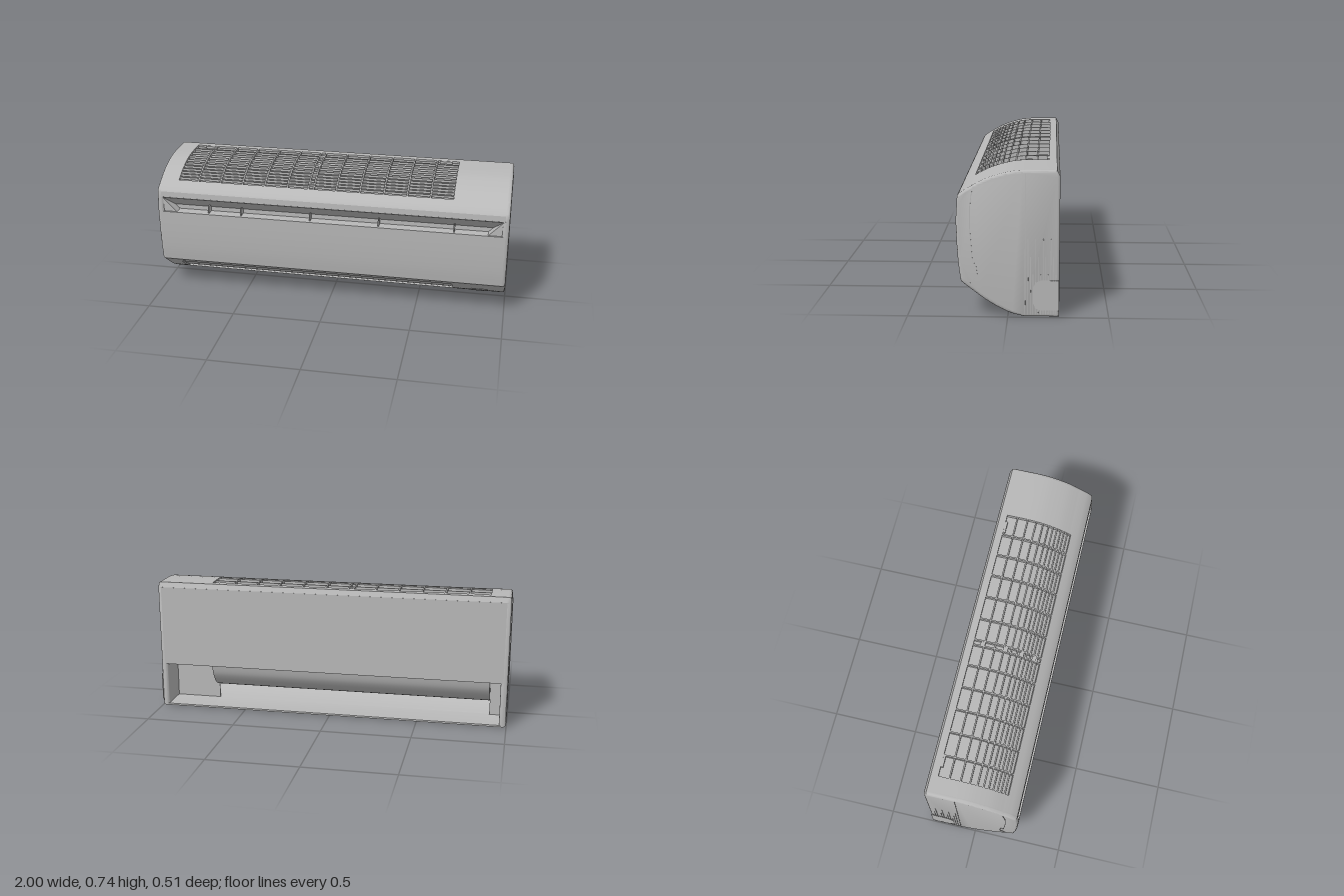
import * as THREE from 'three';
import { toCreasedNormals } from 'three/addons/utils/BufferGeometryUtils.js';

export function createModel() {
  const model = new THREE.Group();
  const gray = new THREE.MeshStandardMaterial({ color: 0xb8b8b8 });
  gray.name = 'light gray plastic';
  const add = (name, geometry, parent = model) => {
    const mesh = new THREE.Mesh(geometry, gray);
    mesh.name = name;
    parent.add(mesh);
    return mesh;
  };
  const group = (name) => {
    const g = new THREE.Group();
    g.name = name;
    model.add(g);
    return g;
  };

  // Points are [z, y]; the shape is swept along x.
  const shapeOf = (pts) => new THREE.Shape(pts.map(([z, y]) => new THREE.Vector2(-z, y)));
  const sweep = (pts, x0, x1) => {
    const g = new THREE.ExtrudeGeometry(shapeOf(pts), { depth: x1 - x0, bevelEnabled: false });
    g.rotateY(Math.PI / 2).translate(x0, 0, 0);
    return toCreasedNormals(g, 0.5);
  };
  // Curved sheet of thickness t, thickened to the left of the path.
  const band = (pts, t, x0, x1) => {
    const inner = pts.map(([z, y], i) => {
      const a = pts[Math.max(i - 1, 0)], b = pts[Math.min(i + 1, pts.length - 1)];
      const dz = b[0] - a[0], dy = b[1] - a[1], l = Math.hypot(dz, dy);
      return [z - (dy / l) * t, y + (dz / l) * t];
    });
    return sweep([...pts, ...inner.reverse()], x0, x1);
  };
  const box = (x0, x1, y0, y1, z0, z1) =>
    new THREE.BoxGeometry(x1 - x0, y1 - y0, z1 - z0)
      .translate((x0 + x1) / 2, (y0 + y1) / 2, (z0 + z1) / 2);
  const smooth = (pts, n) =>
    new THREE.SplineCurve(pts.map((p) => new THREE.Vector2(...p))).getPoints(n).map((p) => [p.x, p.y]);

  // Casing outline: underside, front and top
  const under = smooth([[-0.08, 0.002], [0, 0.025], [0.1, 0.08], [0.2, 0.155]], 30);
  const front = smooth([[0.232, 0.18], [0.243, 0.26], [0.251, 0.37], [0.255, 0.49]], 12);
  const header = [[0.249, 0.575], [0.247, 0.61], [0.24, 0.62], [0.21, 0.642], [0.178, 0.66]];
  const top = smooth([[0.178, 0.66], [0.1, 0.7], [0, 0.73], [-0.08, 0.74]], 30);
  const backEdge = [[-0.24, 0.74], [-0.255, 0.71]];
  const heightAt = (curve, z) => {
    for (let i = 1; i < curve.length; i++) {
      const [a, b] = [curve[i - 1], curve[i]];
      if ((z - a[0]) * (z - b[0]) <= 0) return a[1] + ((b[1] - a[1]) * (z - a[0])) / (b[0] - a[0]);
    }
    return curve === top ? 0.74 : 0.002;
  };
  const arc = (curve, z0, z1, n = 24, dy = 0) => Array.from({ length: n + 1 }, (_, i) => {
    const z = z0 + ((z1 - z0) * i) / n;
    return [z, heightAt(curve, z) + dy];
  });

  const W = 0.983, L = -0.89, R = 0.69;

  // Rounded end panels
  const outline = [[-0.255, 0.002], ...under, ...front, ...header, ...top, ...backEdge];
  const ends = group('endPanels');
  for (const s of [-1, 1]) {
    const g = new THREE.ExtrudeGeometry(shapeOf(outline), {
      depth: 0.008, bevelThickness: 0.015, bevelSize: 0.015, bevelOffset: -0.015, bevelSegments: 4,
    });
    g.rotateY(Math.PI / 2).translate(s > 0 ? 0.975 : -0.983, 0, 0);
    add('endPanel', toCreasedNormals(g, 0.6), ends);
    // Rear ribs, seam and knockout hatch
    const x0 = s > 0 ? 0.996 : -1, x1 = s > 0 ? 1 : -0.996;
    add('sideSeam', box(x0, x1, 0.015, 0.725, -0.087, -0.084), ends);
    for (let i = 0; i < 12; i++) {
      const z = -0.1 - i * 0.0125;
      add('sideRib', box(x0, x1, 0.016, 0.4 - 0.09 * (i % 3), z - 0.0015, z + 0.0015), ends);
    }
    const hatch = [[-0.253, 0.036], [-0.165, 0.036], [-0.137, 0.046], [-0.124, 0.075],
      [-0.124, 0.15], [-0.137, 0.178], [-0.165, 0.19], [-0.253, 0.19]];
    add('pipeHatch', sweep(hatch, x0, x1), ends);
    // Joint of the front panel on the end face
    const joint = [[0.172, 0.64], [0.183, 0.56], [0.184, 0.45], [0.172, 0.28], [0.156, 0.27],
      [0.148, 0.21], [0.168, 0.19], [0.185, 0.17]];
    add('panelJoint', band(joint, 0.003, x0, x1), ends);
  }

  // Top cover around the intake opening
  const cover = group('topCover');
  for (const [a, b] of [[-W, L], [R, W]])
    add('topEnd', band([...arc(top, 0.178, -0.08), ...backEdge], 0.012, a, b), cover);
  add('topRear', band([[-0.2, 0.74], ...backEdge], 0.012, L, R), cover);

  // Intake grille with the filter under it
  const grille = group('intakeGrille');
  add('filter', band(arc(top, 0.177, -0.205, 24, -0.022), 0.004, L, R), grille);
  const ribs = [L, -0.77, -0.64, -0.51, -0.38, -0.25, -0.128, -0.098, 0.03, 0.165, 0.3, 0.43, 0.56, R];
  for (const x of ribs)
    add('grilleRib', band(arc(top, 0.178, -0.2), 0.02, x - 0.004, x + 0.004), grille);
  for (const z of [-0.14, -0.08, -0.03, 0.01, 0.043, 0.07, 0.094, 0.116, 0.136, 0.156]) {
    const y = heightAt(top, z);
    add('grilleBar', box(L, R, y - 0.015, y - 0.002, z - 0.004, z + 0.004), grille);
  }
  for (const z of [-0.15, -0.02, 0.07, 0.14]) {
    const y = heightAt(top, z);
    add('grilleLink', box(-0.128, -0.098, y - 0.014, y - 0.002, z - 0.012, z + 0.012), grille);
  }
  for (const x of [-0.8, 0.61]) add('grilleCatch', box(x - 0.035, x + 0.035, 0.725, 0.739, -0.2, -0.188), grille);

  // Front panel, header and the slot between them
  const face = group('frontPanel');
  add('frontFace', band([[0.2, 0.155], ...front], 0.012, -W, W), face);
  add('frontHeader', band(header, 0.01, -W, W), face);
  add('slotCeiling', band([[0.192, 0.515], [0.249, 0.578]], 0.006, -W, W), face);
  add('slotBack', box(-0.97, 0.97, 0.47, 0.52, 0.186, 0.192), face);
  add('slotFloor', box(-0.97, 0.97, 0.478, 0.489, 0.188, 0.25), face);
  for (const x of [-0.7, -0.51, -0.11, 0.28, 0.7])
    add('slotDivider', box(x - 0.003, x + 0.003, 0.488, 0.53, 0.19, 0.235), face);
  for (const s of [-1, 1]) {
    const wedge = new THREE.Shape([[0.97, 0.575], [0.97, 0.488], [0.885, 0.488]]
      .map(([x, y]) => new THREE.Vector2(s * x, y)));
    add('slotEnd', new THREE.ExtrudeGeometry(wedge, { depth: 0.056, bevelEnabled: false })
      .translate(0, 0, 0.19), face);
  }

  // Underside around the air outlet
  const base = group('underside');
  for (const [a, b] of [[-W, -0.9], [0.7, W]])
    add('undersideEnd', band([[-0.255, 0.002], ...arc(under, -0.08, 0.2)], 0.01, a, b), base);
  add('undersideRear', band([[-0.255, 0.002], ...arc(under, -0.08, 0.052)], 0.01, -0.9, 0.7), base);
  add('outletLip', band(arc(under, 0.188, 0.2, 2), 0.01, -0.9, 0.7), base);
  for (let i = 0; i < 12; i++) {
    const z = -0.24 + i * 0.014;
    add('undersideRib', box(-0.96, 0.96, 0, 0.004, z - 0.002, z + 0.002), base);
  }
  add('displayPlate', band(arc(under, 0.06, 0.125, 6, -0.003), 0.006, 0.81, 0.9), base);

  // Closed air flap, set slightly into the outlet
  add('airFlap', band(arc(under, 0.1, 0.187, 10, 0.008), 0.008, -0.895, 0.695));

  // Air channel and its closed ends
  const channel = group('airChannel');
  const scroll = smooth([[-0.225, 0.255], [-0.205, 0.19], [-0.15, 0.125], [-0.06, 0.09], [0.06, 0.082]], 24);
  add('scroll', band(scroll, 0.006, -0.9, 0.7), channel);
  for (const x of [-0.9, 0.694])
    add('scrollEnd', sweep([...scroll, [0.19, 0.16], [0.18, 0.255]], x, x + 0.006), channel);
  add('outletRoof', band([[0.19, 0.165], [0.08, 0.2], [0, 0.27]], 0.006, -0.9, 0.7), channel);
  const fan = new THREE.CylinderGeometry(0.085, 0.085, 1.58, 32).rotateZ(Math.PI / 2);
  add('fan', fan.translate(-0.1, 0.27, -0.07), channel);

  // Rear plate above the pipe recess
  const rear = group('rearPlate');
  add('backPlate', box(-W, W, 0.255, 0.712, -0.255, -0.243), rear);
  add('recessCeiling', box(-0.975, 0.975, 0.255, 0.263, -0.25, -0.08), rear);
  for (const [a, b] of [[-0.975, -0.9], [0.7, 0.975]])
    add('recessWall', box(a, b, 0.005, 0.26, -0.088, -0.08), rear);
  return model;
}
